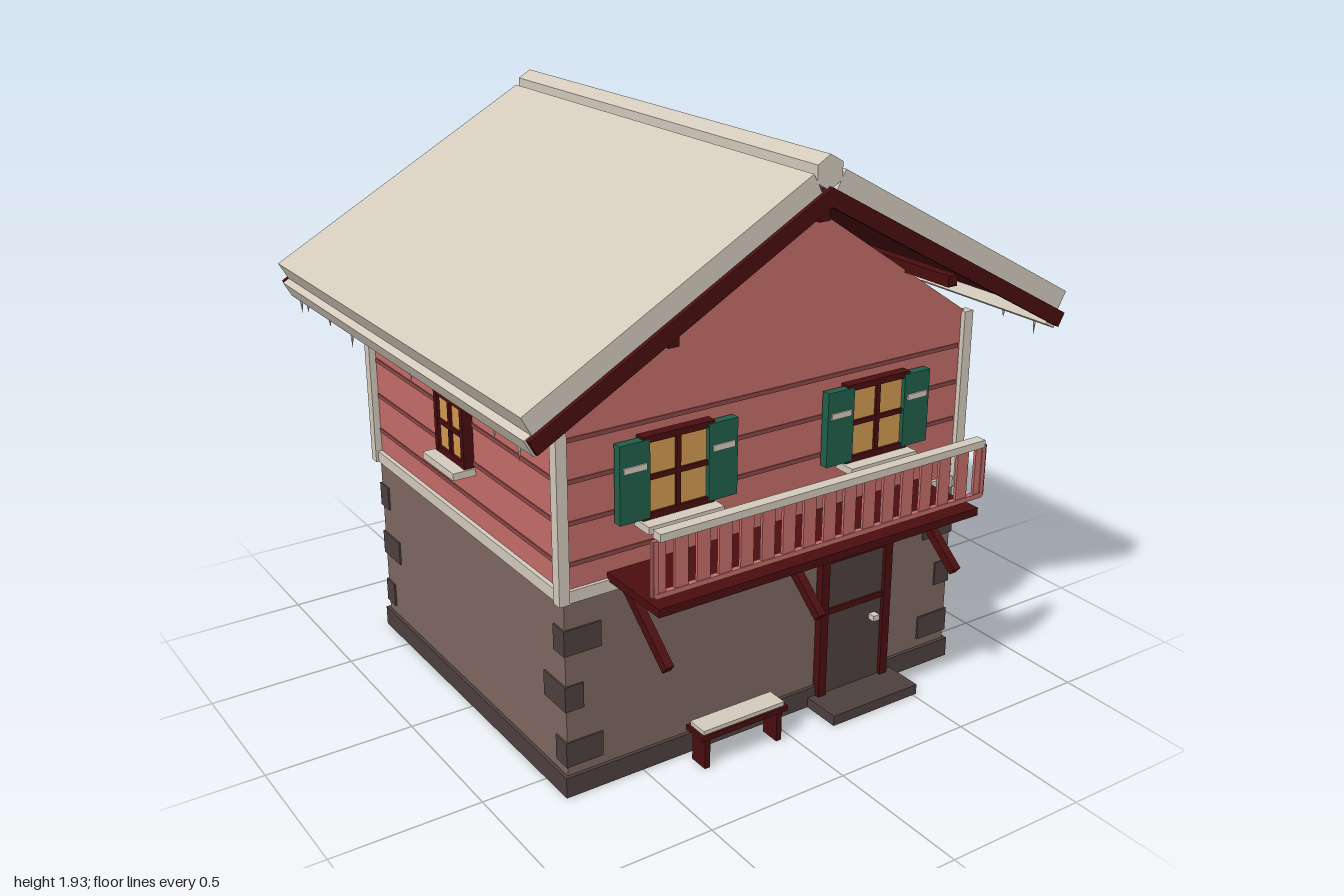
import * as THREE from 'three';

const mat = (name, color) => {
  const m = new THREE.MeshStandardMaterial({ color });
  m.name = name;
  return m;
};

export function createModel() {
  const cream = mat('cream', 0xd3cabc);
  const darkRed = mat('dark red timber', 0x4a0d0f);
  const pink = mat('pink plaster', 0xc46d69);
  const groove = mat('plank groove', 0x8c4846);
  const stone = mat('stone', 0x7d6761);
  const darkStone = mat('dark stone', 0x4c403e);
  const amber = mat('amber glass', 0xd2994f);
  const green = mat('green shutter', 0x205f4a);
  const tan = mat('tan wood', 0xab7e4c);
  const log = mat('log end', 0x5c2a10);

  const model = new THREE.Group();
  model.name = 'chalet';
  const ZC = -0.0275; // middle of the house in z

  const add = (parent, name, geo, m, x, y, z) => {
    const mesh = new THREE.Mesh(geo, m);
    mesh.name = name;
    mesh.position.set(x, y, z);
    parent.add(mesh);
    return mesh;
  };
  // box given by its extents
  const box = (parent, name, m, x0, x1, y0, y1, z0, z1) =>
    add(parent, name, new THREE.BoxGeometry(x1 - x0, y1 - y0, z1 - z0), m,
      (x0 + x1) / 2, (y0 + y1) / 2, (z0 + z1) / 2);
  const group = (parent, name, x = 0, y = 0, z = 0, ry = 0) => {
    const g = new THREE.Group();
    g.name = name;
    g.position.set(x, y, z);
    g.rotation.y = ry;
    parent.add(g);
    return g;
  };

  // everything of the main body is symmetric about ZC
  const house = group(model, 'house', 0, 0, ZC);
  const W = 0.765, D = 0.6425;

  // stone ground floor
  box(house, 'plinth', darkStone, -W - 0.012, W + 0.012, 0, 0.07, -D - 0.012, D + 0.012);
  box(house, 'stoneWall', stone, -W, W, 0.06, 0.67, -D, D);
  for (const sx of [-1, 1]) for (const sz of [-1, 1]) {
    [[0.145, 0.13, 0.065], [0.338, 0.065, 0.13], [0.527, 0.13, 0.065]].forEach(([y, w, d]) =>
      add(house, 'cornerStone', new THREE.BoxGeometry(w, 0.085, d), darkStone,
        sx * (W + 0.006 - w / 2), y, sz * (D + 0.006 - d / 2)));
  }

  // upper storey with gables
  const gable = new THREE.Shape([[-W, 0.66], [W, 0.66], [W, 1.285], [0, 1.8], [-W, 1.285]]
    .map(p => new THREE.Vector2(...p)));
  add(house, 'upperWall', new THREE.ExtrudeGeometry(gable, { depth: 2 * D, bevelEnabled: false }), pink, 0, 0, -D);
  box(house, 'floorBand', cream, -W - 0.015, W + 0.015, 0.66, 0.7, -D - 0.012, D + 0.012);
  for (const sx of [-1, 1]) for (const sz of [-1, 1])
    add(house, 'cornerPost', new THREE.BoxGeometry(0.036, 0.625, 0.036), cream,
      sx * (W + 0.006), 0.9725, sz * D);
  for (const y of [0.78, 0.91, 1.04, 1.168])
    for (const s of [-1, 1]) {
      add(house, 'plankLine', new THREE.BoxGeometry(1.49, 0.014, 0.008), groove, 0, y, s * D);
      add(house, 'plankLine', new THREE.BoxGeometry(0.008, 0.014, 1.24), groove, s * W, y, 0);
    }

  // roof: two equal slopes, local x runs down the slope
  const slope = Math.atan(0.55);
  for (const side of [0, 1]) {
    const half = group(house, 'roofHalf', 0, 0, 0, side * Math.PI);
    const plane = group(half, 'roofSlope', 0, 1.84, 0);
    plane.rotation.z = -slope;
    box(plane, 'roofCover', cream, 0.03, 1.105, 0, 0.065, -0.8575, 0.8575);
    box(plane, 'roofDeck', darkRed, 0, 1.09, -0.02, 0, -0.857, 0.857);
    box(plane, 'eaveLip', cream, 1.09, 1.13, -0.058, 0, -0.852, 0.852);
    for (const s of [-1, 1])
      add(plane, 'bargeBoard', new THREE.BoxGeometry(1.125, 0.05, 0.016), darkRed, 0.5625, -0.025, s * 0.8645);
    box(half, 'sidePurlin', darkRed, 0.495, 0.531, 1.457, 1.493, -0.84, 0.84);
    // icicles under the eave
    [0.77, 0.63, 0.1, -0.34, -0.52, -0.71, -0.77].forEach((z, i) => {
      const h = i % 3 === 0 ? 0.05 : 0.028;
      const c = add(half, 'icicle', new THREE.ConeGeometry(0.006, h, 5), cream,
        0.96, 1.25 - h / 2, side ? -z : z);
      c.rotation.x = Math.PI;
    });
  }
  box(house, 'ridgePurlin', darkRed, -0.02, 0.02, 1.735, 1.8, -0.84, 0.84);
  const ridge = new THREE.CylinderGeometry(0.052, 0.052, 1.715, 6).toNonIndexed();
  ridge.rotateX(Math.PI / 2);
  ridge.computeVertexNormals();
  add(house, 'ridgeCap', ridge, cream, 0, 1.88, 0);

  // window facing local +z, its back on the wall
  const makeWindow = (name, w, h, x, y, z, ry, shutters) => {
    const g = group(house, name, x, y, z, ry);
    const b = 0.021;
    box(g, 'glass', amber, -w / 2 + b, w / 2 - b, -h / 2 + b, h / 2 - b, 0, 0.024);
    for (const s of [-1, 1]) {
      add(g, 'frameSide', new THREE.BoxGeometry(b, h, 0.035), darkRed, s * (w - b) / 2, 0, 0.0175);
      add(g, 'frameRail', new THREE.BoxGeometry(w, b, 0.034), darkRed, 0, s * (h - b) / 2, 0.017);
    }
    box(g, 'mullion', darkRed, -0.008, 0.008, -h / 2, h / 2, 0, 0.033);
    box(g, 'crossBar', darkRed, -w / 2, w / 2, -0.008, 0.008, 0, 0.032);
    box(g, 'sill', cream, -w / 2 - 0.008, w / 2 + 0.008, -h / 2 - 0.024, -h / 2, 0, 0.078);
    if (shutters) for (const s of [-1, 1]) {
      add(g, 'shutter', new THREE.BoxGeometry(0.105, 0.25, 0.03), green, s * 0.157, 0, 0.024);
      add(g, 'shutterBar', new THREE.BoxGeometry(0.08, 0.02, 0.008), cream, s * 0.157, 0.045, 0.04);
    }
  };
  for (const s of [-1, 1]) {
    makeWindow('frontWindow', 0.255, 0.265, s * 0.383, 1.0025, D, 0, true);
    makeWindow('backWindow', 0.255, 0.265, s * 0.383, 1.0025, -D, Math.PI, true);
    makeWindow('lowerBackWindow', 0.19, 0.195, s * 0.383, 0.378, -D, Math.PI, false);
    makeWindow('sideWindow', 0.2, 0.215, s * W, 1.0025, 0, s * Math.PI / 2, false);
  }

  // door and step
  const door = group(model, 'door');
  box(door, 'doorPanel', darkStone, 0.2, 0.47, 0.03, 0.54, 0.6, 0.632);
  for (const x of [0.185, 0.453]) box(door, 'doorPost', darkRed, x, x + 0.031, 0, 0.565, 0.6, 0.645);
  box(door, 'doorLintel', darkRed, 0.185, 0.484, 0.525, 0.565, 0.6, 0.646);
  box(door, 'doorBar', darkRed, 0.21, 0.46, 0.335, 0.355, 0.6, 0.64);
  box(door, 'doorHandle', cream, 0.402, 0.428, 0.262, 0.282, 0.63, 0.658);
  box(door, 'doorStep', darkStone, 0.155, 0.515, 0, 0.036, 0.61, 0.765);

  // bench
  const bench = group(model, 'bench');
  box(bench, 'benchSeat', darkRed, -0.355, -0.02, 0.108, 0.126, 0.652, 0.742);
  box(bench, 'benchTop', cream, -0.345, -0.03, 0.126, 0.14, 0.66, 0.734);
  for (const x of [-0.338, -0.057]) box(bench, 'benchLeg', darkRed, x, x + 0.02, 0, 0.11, 0.662, 0.732);

  // balcony
  const balcony = group(model, 'balcony');
  box(balcony, 'balconyFloor', darkRed, -0.615, 0.612, 0.693, 0.72, 0.61, 0.892);
  for (const x of [-0.563, 0, 0.56]) {
    const brace = add(balcony, 'brace', new THREE.BoxGeometry(0.028, 0.032, 0.31), darkRed, x, 0.593, 0.742);
    brace.rotation.x = Math.atan2(0.185, 0.225);
  }
  box(balcony, 'handRail', cream, -0.615, 0.615, 0.932, 0.957, 0.862, 0.9);
  box(balcony, 'bottomRail', pink, -0.625, 0.625, 0.754, 0.77, 0.874, 0.892);
  for (let i = 0; i < 17; i++) {
    const x = -0.612 + i * 0.0765;
    box(balcony, 'baluster', pink, x - 0.023, x + 0.023, 0.76, 0.934, 0.878, 0.888);
  }
  for (const s of [-1, 1])
    add(balcony, 'endPost', new THREE.BoxGeometry(0.016, 0.175, 0.016), pink, s * 0.622, 0.846, 0.883);

  // stacked firewood
  const pile = group(model, 'woodPile');
  box(pile, 'woodStack', tan, 0.778, 0.903, 0, 0.19, -0.343, 0.457);
  const logGeo = new THREE.CylinderGeometry(0.033, 0.033, 0.016, 7).rotateZ(Math.PI / 2);
  for (let r = 0; r < 3; r++)
    for (let i = 0; i < 12 - (r === 1 ? 0 : 1); i++) {
      const z = (r === 1 ? -0.308 : -0.275) + i * 0.0665;
      add(pile, 'logEnd', logGeo, log, 0.903, 0.034 + r * 0.061, z).rotation.x = i * 0.7 + r;
    }
  return model;
}
